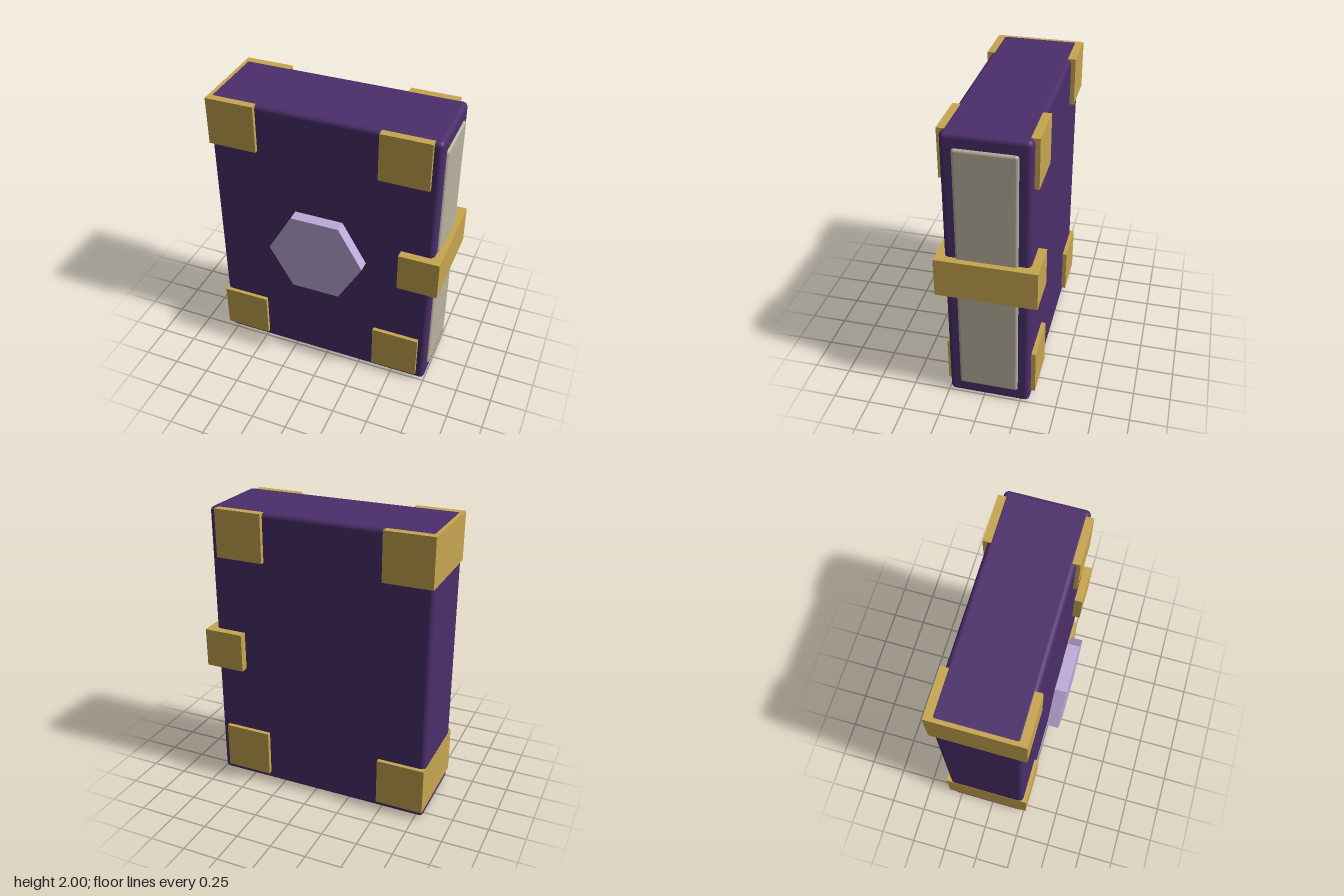
import * as THREE from 'three';
import { RoundedBoxGeometry } from 'three/addons/geometries/RoundedBoxGeometry.js';

const mat = (name, color) => {
  const m = new THREE.MeshStandardMaterial({ color });
  m.name = name;
  return m;
};

export function createModel() {
  const purple = mat('purple leather', 0x4b2e6b);
  const gold = mat('aged gold', 0xc8a650);
  const paper = mat('paper', 0xb9b29f);
  const lilac = mat('lilac gem', 0xbdabd8);

  const book = new THREE.Group();
  book.name = 'book';

  // Box between two corners, with rounded edges when a radius is given
  const block = (name, material, [x0, y0, z0], [x1, y1, z1], radius = 0) => {
    const size = [x1 - x0, y1 - y0, z1 - z0];
    const geometry = radius
      ? new RoundedBoxGeometry(...size, 4, radius)
      : new THREE.BoxGeometry(...size);
    const mesh = new THREE.Mesh(geometry, material);
    mesh.name = name;
    mesh.position.set((x0 + x1) / 2, (y0 + y1) / 2, (z0 + z1) / 2);
    book.add(mesh);
  };

  // Cover and the page block showing at the fore-edge
  block('cover', purple, [-0.803, 0, -0.312], [0.747, 2, 0.242], 0.033);
  block('pages', paper, [-0.7, 0.095, -0.235], [0.762, 1.91, 0.167], 0.02);

  // Metal corner guards wrapping front to back
  for (const [side, x] of [['spine', -0.805], ['foreEdge', 0.358]]) {
    for (const [end, y] of [['lower', 0.058], ['upper', 1.669]]) {
      block(`${end}${side}Corner`, gold, [x, y, -0.342], [x + 0.332, y + 0.33, 0.269]);
    }
  }

  // Clasp across the fore-edge
  block('clasp', gold, [0.525, 0.868, -0.368], [0.802, 1.14, 0.298]);

  // Six-sided gem in front of the cover, points to the sides
  const gemShape = new THREE.CylinderGeometry(0.333, 0.333, 0.08, 6).toNonIndexed();
  gemShape.rotateY(Math.PI / 2).rotateX(Math.PI / 2);
  gemShape.computeVertexNormals();
  const gem = new THREE.Mesh(gemShape, lilac);
  gem.name = 'gem';
  gem.position.set(-0.03, 1.003, 0.328);
  book.add(gem);

  return book;
}
